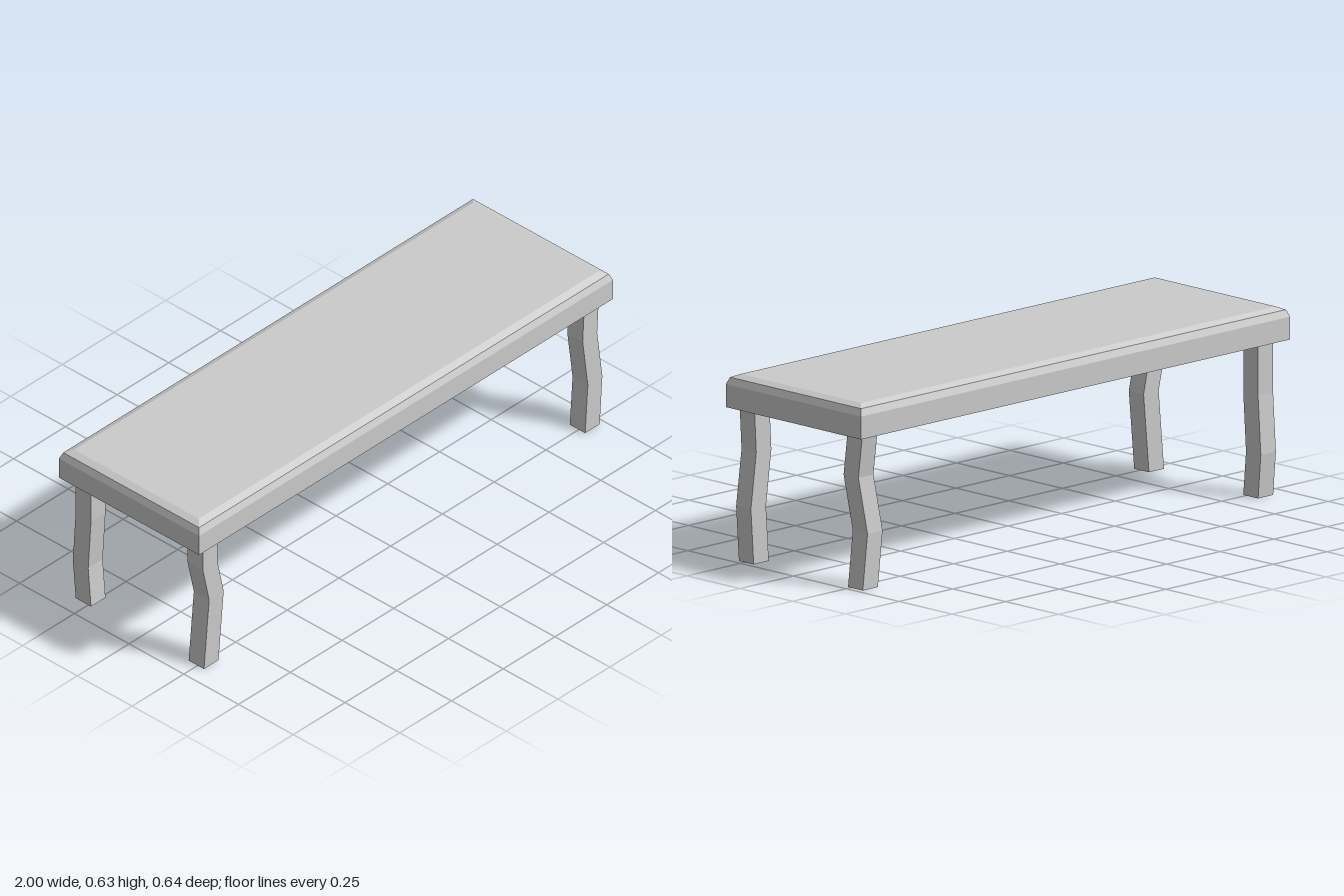
import * as THREE from 'three';

const material = new THREE.MeshStandardMaterial({ color: 0xcccccc, flatShading: true });

// Closed solid through rectangular sections [y, centreX, centreZ, halfX, halfZ], bottom to top
function loft(name, sections) {
  const positions = [];
  const index = [];
  for (const [y, cx, cz, hx, hz] of sections) {
    for (const [sx, sz] of [[-1, 1], [1, 1], [1, -1], [-1, -1]]) {
      positions.push(cx + sx * hx, y, cz + sz * hz);
    }
  }
  for (let s = 0; s < sections.length - 1; s++) {
    for (let i = 0; i < 4; i++) {
      const a = s * 4 + i, b = s * 4 + (i + 1) % 4;
      index.push(a, b, b + 4, a, b + 4, a + 4);
    }
  }
  const t = (sections.length - 1) * 4;
  index.push(0, 2, 1, 0, 3, 2, t, t + 1, t + 2, t, t + 2, t + 3);

  const indexed = new THREE.BufferGeometry();
  indexed.setAttribute('position', new THREE.Float32BufferAttribute(positions, 3));
  indexed.setIndex(index);
  const geometry = indexed.toNonIndexed();
  geometry.computeVertexNormals();
  const mesh = new THREE.Mesh(geometry, material);
  mesh.name = name;
  return mesh;
}

export function createModel() {
  const bench = new THREE.Group();
  bench.name = 'bench';

  // Seat slab with two bevel steps around the top
  bench.add(loft('seat', [
    [0.522, 0, 0, 1, 0.32],
    [0.6, 0, 0, 1, 0.32],
    [0.624, 0, 0, 0.99, 0.31],
    [0.635, 0, 0, 0.965, 0.285],
  ]));

  // Crooked square legs: foot position, then bends as [height, shift in x, shift in z]
  const legs = [
    ['frontLeftLeg', 0.944, 0.244, [[0, 0, 0], [0.19, 0.013, 0], [0.38, -0.012, 0], [0.522, -0.004, 0]]],
    ['frontRightLeg', -0.898, 0.244, [[0, 0, 0], [0.27, 0.025, 0], [0.41, -0.006, 0], [0.522, -0.003, 0]]],
    ['backLeftLeg', 0.944, -0.272, [[0, 0, 0], [0.19, -0.022, 0], [0.38, -0.004, 0.025], [0.522, -0.004, 0.007]]],
    ['backRightLeg', -0.898, -0.272, [[0, 0, 0], [0.15, 0, -0.013], [0.35, 0, 0], [0.522, 0, 0]]],
  ];
  for (const [name, x, z, bends] of legs) {
    bench.add(loft(name, bends.map(([y, dx, dz]) => [y, x + dx, z + dz, 0.035, 0.035])));
  }
  return bench;
}
